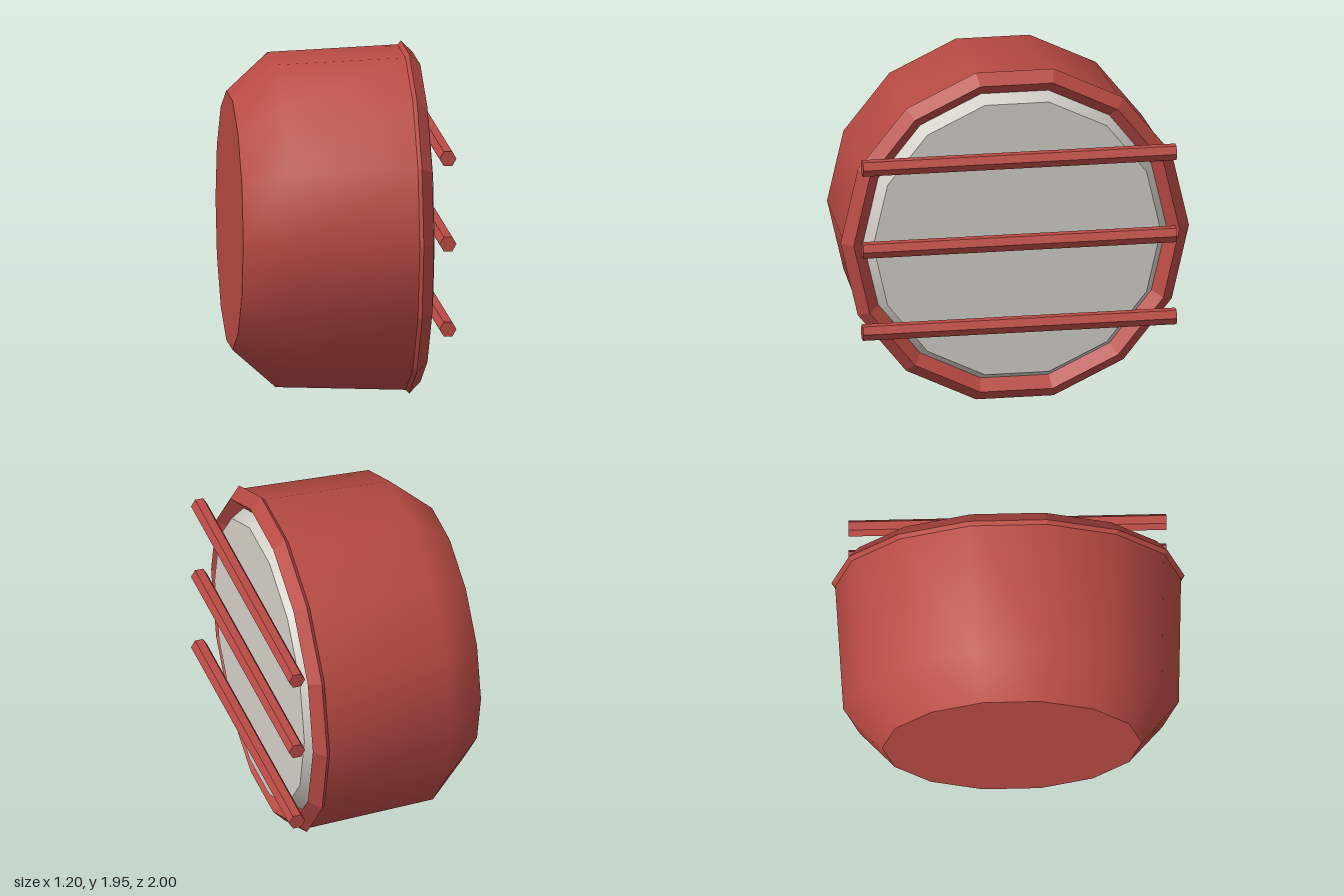
import * as THREE from 'three';

const SIDES = 14;
const CENTER_Y = Math.cos(Math.PI / SIDES); // the drum rests on a flat of its rim

// Gives every face its own normal
function faceted(geometry) {
  const flat = geometry.toNonIndexed();
  flat.computeVertexNormals();
  return flat;
}

export function createModel() {
  const red = new THREE.MeshStandardMaterial({ color: 0xb94a44 });
  red.name = 'red paint';
  const pale = new THREE.MeshStandardMaterial({ color: 0xd3d0c8 });
  pale.name = 'pale lens';

  const model = new THREE.Group();
  model.name = 'cagedLamp';
  const add = (name, geometry, material, x = 0, y = CENTER_Y) => {
    const mesh = new THREE.Mesh(geometry, material);
    mesh.name = name;
    mesh.position.set(x, y, 0);
    model.add(mesh);
  };

  // Housing wall: tapered back and slightly flared side, axis along x
  const profile = [[0.735, -0.6], [0.95, -0.36], [0.98, 0.4]].map(([r, x]) => new THREE.Vector2(r, x));
  add('housing', new THREE.LatheGeometry(profile, SIDES).rotateZ(-Math.PI / 2), red);

  // Flat back plate, facing -x
  add('backPlate', new THREE.CircleGeometry(0.735, SIDES).rotateY(-Math.PI / 2), red, -0.6);

  // Diamond-section rim
  add('rim', faceted(new THREE.TorusGeometry(0.935, 0.065, 4, SIDES).rotateY(Math.PI / 2)), red, 0.4);

  // Lens disc with a bevelled edge
  add('lens', new THREE.CylinderGeometry(0.825, 0.88, 0.1, SIDES).rotateZ(-Math.PI / 2), pale, 0.43);

  // Three hexagonal guard bars running along z
  for (const i of [-1, 0, 1]) {
    const bar = new THREE.CylinderGeometry(0.048, 0.048, 1.8, 6).rotateY(Math.PI / 2).rotateX(Math.PI / 2);
    add('guardBar', faceted(bar), red, 0.548, CENTER_Y + i * 0.49);
  }

  return model;
}
